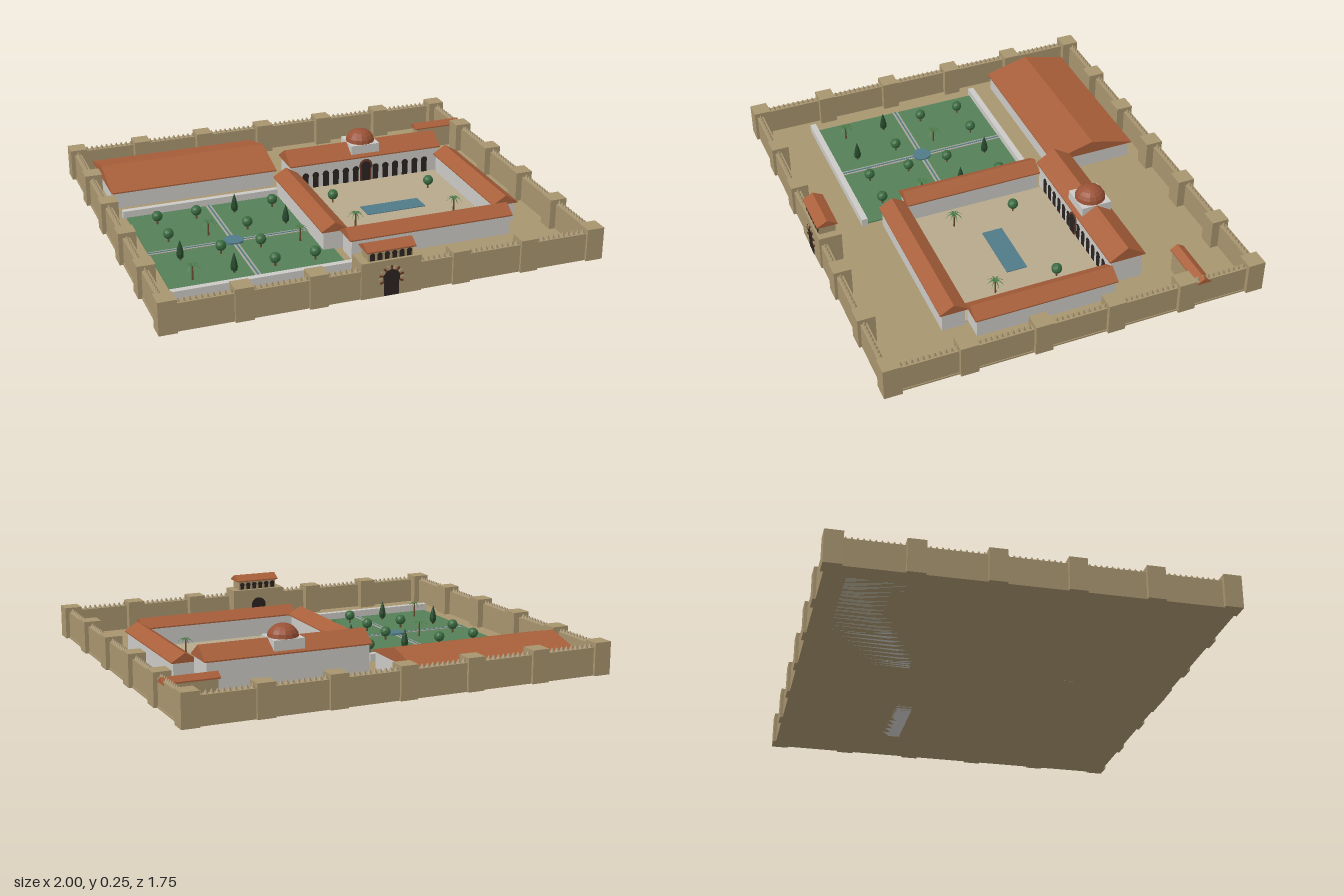
import * as THREE from 'three';
import { mergeGeometries } from 'three/addons/utils/BufferGeometryUtils.js';

const mat = (color, extra = {}) => new THREE.MeshStandardMaterial({ color, ...extra });
const M = {
  stone: mat(0xa8956f), ground: mat(0xa8956f), plaster: mat(0xcccac6), roof: mat(0xa85f3a),
  dome: mat(0x9a5236, { flatShading: true }), dark: mat(0x2b2320), brick: mat(0x6a3a2a),
  grass: mat(0x557f58), water: mat(0x4f7a88), paving: mat(0xb8a98c), path: mat(0xaaa594),
  trunk: mat(0x6b4a2e), leaf: mat(0x3a6b40, { flatShading: true }),
  cypress: mat(0x274a2c, { flatShading: true }), frond: mat(0x4a7a48, { side: THREE.DoubleSide }),
};

function add(parent, name, geo, material, x = 0, y = 0, z = 0) {
  const m = new THREE.Mesh(geo, material);
  m.name = name;
  m.position.set(x, y, z);
  parent.add(m);
  return m;
}

// Box given by its min and max corners
function block(parent, name, material, x0, x1, y0, y1, z0, z1) {
  return add(parent, name, new THREE.BoxGeometry(x1 - x0, y1 - y0, z1 - z0), material,
    (x0 + x1) / 2, (y0 + y1) / 2, (z0 + z1) / 2);
}

// Gabled roof over a rectangle; the ridge follows the x or z axis
function gable(parent, name, x0, x1, z0, z1, eave, ridge, alongX) {
  const w = alongX ? z1 - z0 : x1 - x0, len = alongX ? x1 - x0 : z1 - z0, h = ridge - eave;
  const s = new THREE.Shape();
  s.moveTo(-w / 2, -0.006); s.lineTo(w / 2, -0.006); s.lineTo(w / 2, 0); s.lineTo(0, h); s.lineTo(-w / 2, 0);
  const g = new THREE.ExtrudeGeometry(s, { depth: len, bevelEnabled: false });
  g.translate(0, 0, -len / 2);
  if (alongX) g.rotateY(Math.PI / 2);
  add(parent, name, g, M.roof, (x0 + x1) / 2, eave, (z0 + z1) / 2);
}

// Plastered hall with a gabled roof that overhangs its walls
function hall(parent, name, x0, x1, z0, z1, eave, ridge, alongX) {
  const g = new THREE.Group(), o = 0.01;
  g.name = name;
  block(g, name + 'Walls', M.plaster, x0 + o, x1 - o, 0, eave, z0 + o, z1 - o);
  gable(g, name + 'Roof', x0, x1, z0, z1, eave, ridge, alongX);
  parent.add(g);
}

// Horseshoe arch opening, standing on y = 0
function archGeo(w, h, depth) {
  const r = w / 2, a = 0.5, s = new THREE.Shape();
  s.moveTo(-r * Math.cos(a), 0);
  s.lineTo(r * Math.cos(a), 0);
  s.absarc(0, h - r, r, -a, Math.PI + a, false);
  return new THREE.ExtrudeGeometry(s, { depth, bevelEnabled: false, curveSegments: 8 });
}

function tree(parent, x, z) {
  add(parent, 'treeTrunk', new THREE.CylinderGeometry(0.004, 0.005, 0.04, 6), M.trunk, x, 0.025, z);
  add(parent, 'treeCrown', new THREE.IcosahedronGeometry(0.025, 1), M.leaf, x, 0.053, z);
}
function cypress(parent, x, z) {
  add(parent, 'cypressTrunk', new THREE.CylinderGeometry(0.004, 0.005, 0.02, 6), M.trunk, x, 0.015, z);
  const pts = [[0, 0], [0.014, 0.012], [0.017, 0.03], [0.011, 0.06], [0, 0.095]];
  add(parent, 'cypressCrown', new THREE.LatheGeometry(pts.map(p => new THREE.Vector2(...p)), 7),
    M.cypress, x, 0.015, z);
}
function palm(parent, x, z) {
  add(parent, 'palmTrunk', new THREE.CylinderGeometry(0.003, 0.005, 0.075, 6), M.trunk, x, 0.043, z);
  const fronds = [];
  for (let i = 0; i < 8; i++) {
    // Tapered strip arching up and then drooping
    const g = new THREE.PlaneGeometry(0.042, 0.011, 4, 1).rotateX(-Math.PI / 2).translate(0.021, 0, 0);
    const p = g.attributes.position;
    for (let k = 0; k < p.count; k++) {
      const t = p.getX(k) / 0.042;
      p.setY(k, 0.03 * t - 0.045 * t * t);
      p.setZ(k, p.getZ(k) * (1.05 - t));
    }
    g.computeVertexNormals();
    fronds.push(g.rotateY(i * Math.PI / 4));
  }
  add(parent, 'palmFronds', mergeGeometries(fronds), M.frond, x, 0.08, z);
}

export function createModel() {
  const root = new THREE.Group();
  root.name = 'walledPalace';
  block(root, 'ground', M.ground, -0.985, 0.985, 0, 0.008, -0.86, 0.86);

  // Outer walls
  const X = 0.96, Z = 0.835, wallTop = 0.127;
  const merlons = [];
  const merlon = (x, z) => merlons.push(
    new THREE.CylinderGeometry(0.003, 0.011, 0.016, 4).rotateY(Math.PI / 4).translate(x, wallTop + 0.008, z));
  for (const s of [-1, 1]) {
    const zc = s * (Z + 0.012), xc = s * (X + 0.005);
    block(root, 'longWall', M.stone, -X, X, 0, wallTop, zc - 0.015, zc + 0.015);
    block(root, 'sideWall', M.stone, xc - 0.016, xc + 0.016, 0, wallTop, -Z, Z);
    for (let x = -0.91; x < 0.915; x += 0.0246) if (s < 0 || Math.abs(x) > 0.14) merlon(x, zc);
    for (let z = -0.785; z < 0.79; z += 0.0246) merlon(xc, z);
  }
  add(root, 'merlons', mergeGeometries(merlons), M.stone);

  // Square wall towers
  const tower = (x, z) => block(root, 'wallTower', M.stone, x - 0.04, x + 0.04, 0, 0.15, z - 0.04, z + 0.04);
  for (let i = -3; i <= 3; i++) {
    tower(i * 0.32, -Z);
    if (i !== 0) tower(i * 0.32, Z);
  }
  for (let j = 1; j < 5; j++) for (const s of [-1, 1]) tower(s * X, -Z + j * 0.334);

  // Gatehouse with horseshoe door, arch stones and roofed loggia
  const gate = new THREE.Group();
  gate.name = 'gatehouse';
  root.add(gate);
  block(gate, 'gateBody', M.stone, -0.135, 0.135, 0, 0.165, 0.765, 0.87);
  add(gate, 'gateDoor', archGeo(0.076, 0.12, 0.11), M.dark, 0, 0.002, 0.7625);
  for (let i = 0; i <= 12; i++) {
    const a = -0.4 + i * (Math.PI + 0.8) / 12;
    const v = block(gate, 'archStone', i % 2 ? M.stone : M.brick, -0.009, 0.009, -0.004, 0.004, 0.868, 0.875);
    v.position.x = 0.047 * Math.cos(a);
    v.position.y = 0.084 + 0.047 * Math.sin(a);
    v.rotation.z = a;
  }
  block(gate, 'loggia', M.stone, -0.1, 0.1, 0.165, 0.212, 0.782, 0.858);
  for (let i = -2.5; i <= 2.5; i++)
    add(gate, 'loggiaArch', archGeo(0.023, 0.034, 0.08), M.dark, i * 0.033, 0.167, 0.78);
  gable(gate, 'loggiaRoof', -0.11, 0.11, 0.773, 0.867, 0.212, 0.236, true);

  // Palace wings around the courtyard, and the separate large hall
  hall(root, 'northHall', -0.05, 0.735, -0.43, -0.258, 0.14, 0.195, true);
  hall(root, 'southWing', -0.05, 0.735, 0.405, 0.53, 0.105, 0.142, true);
  hall(root, 'westWing', -0.135, -0.012, -0.258, 0.405, 0.105, 0.142, false);
  hall(root, 'eastWing', 0.7, 0.823, -0.258, 0.405, 0.105, 0.142, false);
  hall(root, 'largeHall', -0.9, -0.087, -0.777, -0.357, 0.092, 0.147, true);
  block(root, 'annexWalls', M.stone, 0.745, 0.978, 0, 0.12, -0.615, -0.56);
  gable(root, 'annexRoof', 0.735, 0.985, -0.62, -0.555, 0.12, 0.14, true);

  // Courtyard arcade and central portal
  for (let i = -6; i <= 6; i++) {
    if (i === 0) continue;
    add(root, 'arcadeArch', archGeo(0.033, 0.08, 0.004), M.dark, 0.343 + i * 0.052, 0.012, -0.27);
  }
  add(root, 'portalSurround', archGeo(0.068, 0.115, 0.006), M.brick, 0.343, 0.008, -0.27);
  add(root, 'portalDoor', archGeo(0.05, 0.102, 0.008), M.dark, 0.343, 0.01, -0.27);

  // Dome on a square drum
  block(root, 'domeDrum', M.plaster, 0.27, 0.415, 0.13, 0.195, -0.418, -0.275);
  add(root, 'dome', new THREE.SphereGeometry(0.07, 14, 10), M.dome, 0.3425, 0.195, -0.346).scale.y = 0.82;

  // Courtyard paving, pool and plants
  block(root, 'courtyardPaving', M.paving, -0.02, 0.71, 0.005, 0.012, -0.27, 0.41);
  block(root, 'courtyardPool', M.water, 0.197, 0.49, 0.01, 0.015, 0.025, 0.122);
  for (const x of [0.097, 0.59]) {
    tree(root, x, -0.073);
    palm(root, x, 0.22);
  }

  // Quartered garden
  const garden = new THREE.Group();
  garden.name = 'garden';
  root.add(garden);
  block(garden, 'lawn', M.grass, -0.862, -0.075, 0.005, 0.013, -0.238, 0.583);
  block(garden, 'gardenNorthWall', M.plaster, -0.877, -0.125, 0, 0.045, -0.265, -0.237);
  block(garden, 'gardenSouthWall', M.plaster, -0.877, -0.065, 0, 0.045, 0.583, 0.611);
  block(garden, 'crossPathLong', M.path, -0.483, -0.457, 0.01, 0.016, -0.238, 0.583);
  block(garden, 'crossPathWide', M.path, -0.862, -0.125, 0.01, 0.0155, 0.157, 0.183);
  block(garden, 'channelLong', M.water, -0.474, -0.466, 0.01, 0.0175, -0.238, 0.583);
  block(garden, 'channelWide', M.water, -0.862, -0.125, 0.01, 0.017, 0.166, 0.174);
  add(garden, 'fountainPool', new THREE.CylinderGeometry(0.046, 0.046, 0.014, 8), M.water, -0.47, 0.015, 0.17);
  const plant = { T: tree, C: cypress, P: palm };
  ['TTCT', 'TPTC', 'CTTP', 'PCTT'].forEach((row, j) =>
    [...row].forEach((k, i) => plant[k](garden, -0.745 + i * 0.185, -0.122 + j * 0.197)));
  return root;
}
